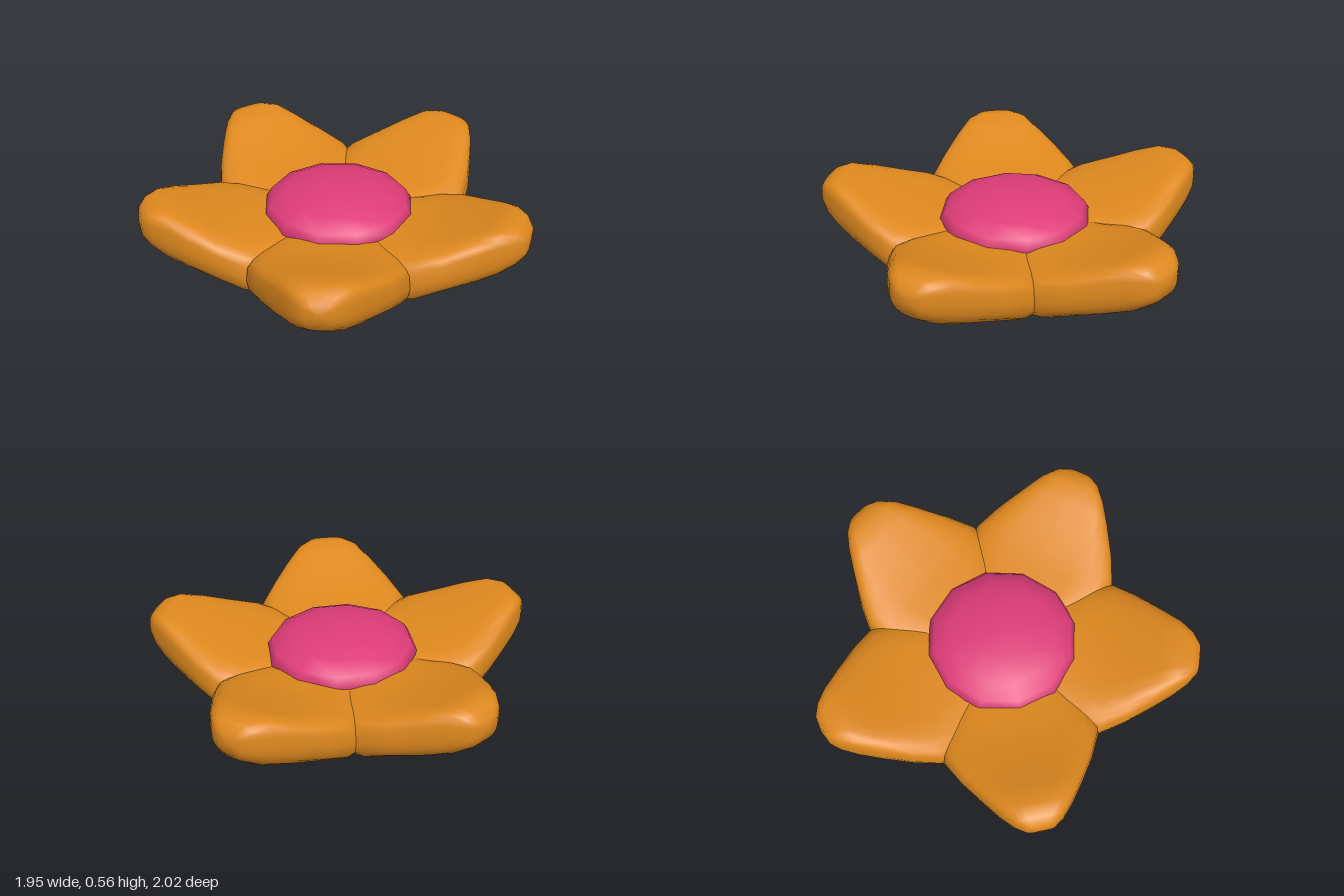
import * as THREE from 'three';
import { mergeVertices } from 'three/addons/utils/BufferGeometryUtils.js';

// Petal cross-sections from base to tip: [distance from centre, half width, top, bottom]
const STATIONS = [
  [0.00, 0.00, 0.25, 0.15],
  [0.02, 0.06, 0.33, 0.02],
  [0.10, 0.12, 0.37, 0.00],
  [0.19, 0.22, 0.40, 0.02],
  [0.28, 0.31, 0.41, 0.07],
  [0.46, 0.41, 0.425, 0.10],
  [0.57, 0.41, 0.45, 0.135],
  [0.70, 0.345, 0.485, 0.19],
  [0.83, 0.26, 0.535, 0.235],
  [0.93, 0.19, 0.565, 0.28],
  [1.00, 0.13, 0.55, 0.335],
  [1.04, 0.075, 0.51, 0.385],
  [1.05, 0.00, 0.45, 0.45],
];
const SIDES = 24;

// Flat-topped, round-bellied section swept outwards through the stations
function petalGeometry() {
  const pos = [];
  const index = [];
  const power = (v, e) => Math.sign(v) * Math.abs(v) ** e;
  for (const [r, w, top, bottom] of STATIONS) {
    const mid = (top + bottom) / 2;
    const half = w === 0 ? 0 : (top - bottom) / 2;
    for (let j = 0; j < SIDES; j++) {
      const a = (j / SIDES) * Math.PI * 2;
      const e = Math.sin(a) > 0 ? 0.55 : 0.8;
      pos.push(r, mid + half * power(Math.sin(a), e), w * power(Math.cos(a), e));
    }
  }
  for (let i = 0; i < STATIONS.length - 1; i++) {
    for (let j = 0; j < SIDES; j++) {
      const k = (j + 1) % SIDES;
      const a = i * SIDES + j, b = a + SIDES;
      const c = i * SIDES + k, d = c + SIDES;
      if (i > 0) index.push(a, b, c);
      else index.push(a, b, d);
      if (i > 0 && i < STATIONS.length - 2) index.push(b, d, c);
    }
  }
  const geometry = new THREE.BufferGeometry();
  geometry.setAttribute('position', new THREE.Float32BufferAttribute(pos, 3));
  geometry.setIndex(index);
  const merged = mergeVertices(geometry, 1e-4);
  merged.computeVertexNormals();
  return merged;
}

export function createModel() {
  const flower = new THREE.Group();
  flower.name = 'flower';
  const orange = new THREE.MeshStandardMaterial({ color: 0xde881e });
  const pink = new THREE.MeshStandardMaterial({ color: 0xde3c78 });

  // Five upturned petals
  const geometry = petalGeometry();
  for (let i = 0; i < 5; i++) {
    const petal = new THREE.Mesh(geometry, orange);
    petal.name = 'petal' + (i + 1);
    petal.rotation.y = -THREE.MathUtils.degToRad(38 + 72 * i);
    petal.position.x = 0.08;
    flower.add(petal);
  }

  // Domed centre
  const centre = new THREE.Mesh(new THREE.SphereGeometry(1, 12, 8), pink);
  centre.name = 'flowerCentre';
  centre.scale.set(0.4, 0.14, 0.4);
  centre.position.set(0.08, 0.405, 0.01);
  flower.add(centre);

  return flower;
}
